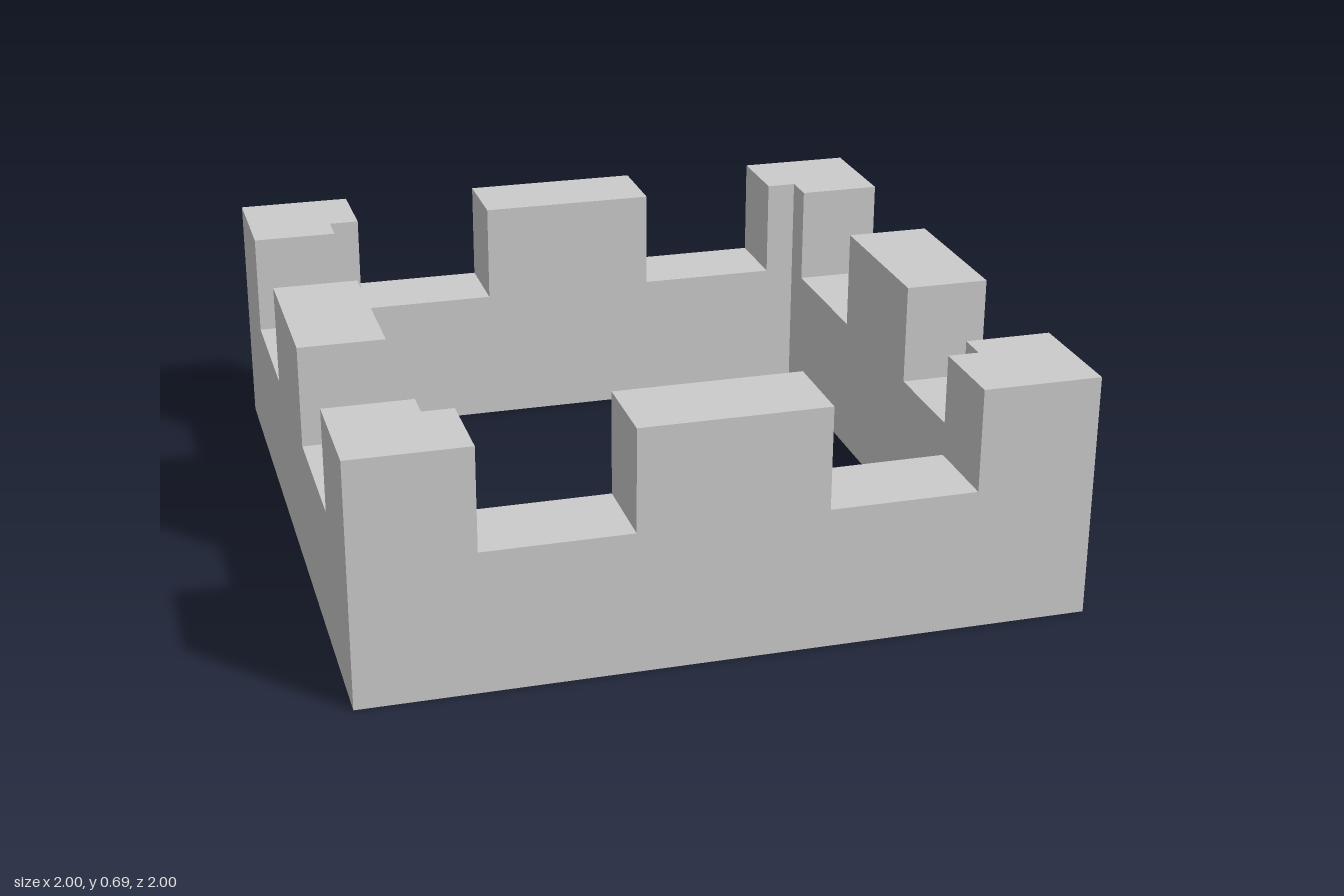
import * as THREE from 'three';

const TOP = 0.69, SILL = 0.4, CORNER = 0.67;
// Distance of each inner wall face from the centre: front, left, back, right
const INNER = [0.755, 0.757, 0.767, 0.757];
const NAMES = ['frontWall', 'leftWall', 'backWall', 'rightWall'];

// Crenellated outline, counter-clockwise; m is half the middle merlon's width
function outline(m) {
  const right = [[1, TOP], [CORNER, TOP], [CORNER, SILL], [m, SILL], [m, TOP]];
  const left = right.map(([x, y]) => [-x, y]).reverse();
  return [[-1, 0], [1, 0], ...right, ...left].map(([x, y]) => new THREE.Vector2(x, y));
}

// One wall facing +z, its ends mitred and left open where it meets its neighbours
function wallGeometry(k) {
  const pts = outline(k % 2 ? 0.24 : 0.26);
  const lo = -INNER[(k + 3) % 4], hi = INNER[(k + 1) % 4];
  const outer = pts.map(p => new THREE.Vector3(p.x, p.y, 1));
  const inner = pts.map(p => new THREE.Vector3(THREE.MathUtils.clamp(p.x, lo, hi), p.y, INNER[k]));
  const tris = [];

  // Outer and inner faces
  for (const [a, b, c] of THREE.ShapeUtils.triangulateShape(pts, [])) {
    tris.push(outer[a], outer[b], outer[c], inner[a], inner[c], inner[b]);
  }
  // Underside, merlon tops, sills and merlon sides
  pts.forEach((p, i) => {
    const j = (i + 1) % pts.length;
    if (Math.abs(p.x) === 1 && p.x === pts[j].x) return; // mitred end
    tris.push(outer[i], inner[j], outer[j], outer[i], inner[i], inner[j]);
  });

  const geometry = new THREE.BufferGeometry().setFromPoints(tris);
  geometry.computeVertexNormals();
  return geometry;
}

export function createModel() {
  const group = new THREE.Group();
  group.name = 'battlement';
  const material = new THREE.MeshStandardMaterial({ color: 0xcccccc, flatShading: true });
  NAMES.forEach((name, k) => {
    const wall = new THREE.Mesh(wallGeometry(k), material);
    wall.name = name;
    wall.rotation.y = k * Math.PI / 2;
    group.add(wall);
  });
  return group;
}
